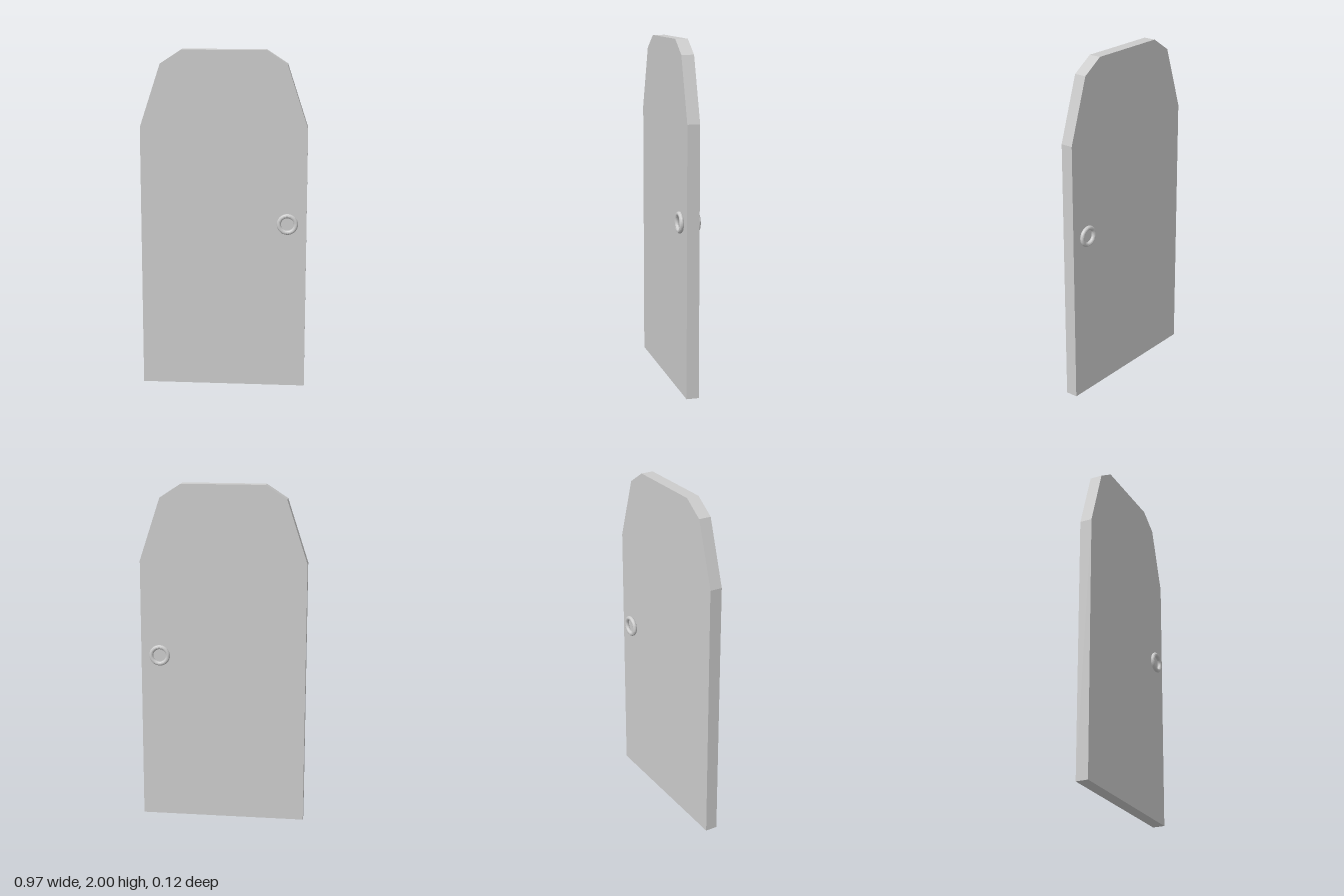
import * as THREE from 'three';

export function createModel() {
  const door = new THREE.Group();
  door.name = 'door';
  const grey = new THREE.MeshStandardMaterial({ color: 0xcccccc });
  grey.name = 'light grey';
  grey.flatShading = true;

  // Door leaf: tall slab with a faceted arched top
  const thickness = 0.072;
  const half = [[0.484, 0], [0.484, 1.555], [0.364, 1.92], [0.242, 2]];
  const mirrored = half.map(([x, y]) => [-x, y]).reverse();
  const outline = new THREE.Shape([...half, ...mirrored].map(([x, y]) => new THREE.Vector2(x, y)));
  const leafGeometry = new THREE.ExtrudeGeometry(outline, { depth: thickness, bevelEnabled: false });
  leafGeometry.translate(0, 0, -thickness / 2);
  const leaf = new THREE.Mesh(leafGeometry, grey);
  leaf.name = 'doorLeaf';
  door.add(leaf);

  // Ring handle resting on each face
  const tube = 0.0125;
  const ringGeometry = new THREE.TorusGeometry(0.0495, tube, 12, 48);
  for (const side of [1, -1]) {
    const ring = new THREE.Mesh(ringGeometry, grey);
    ring.name = side > 0 ? 'frontRingHandle' : 'backRingHandle';
    ring.position.set(0.373, 0.997, side * (thickness / 2 + tube));
    door.add(ring);
  }
  return door;
}
